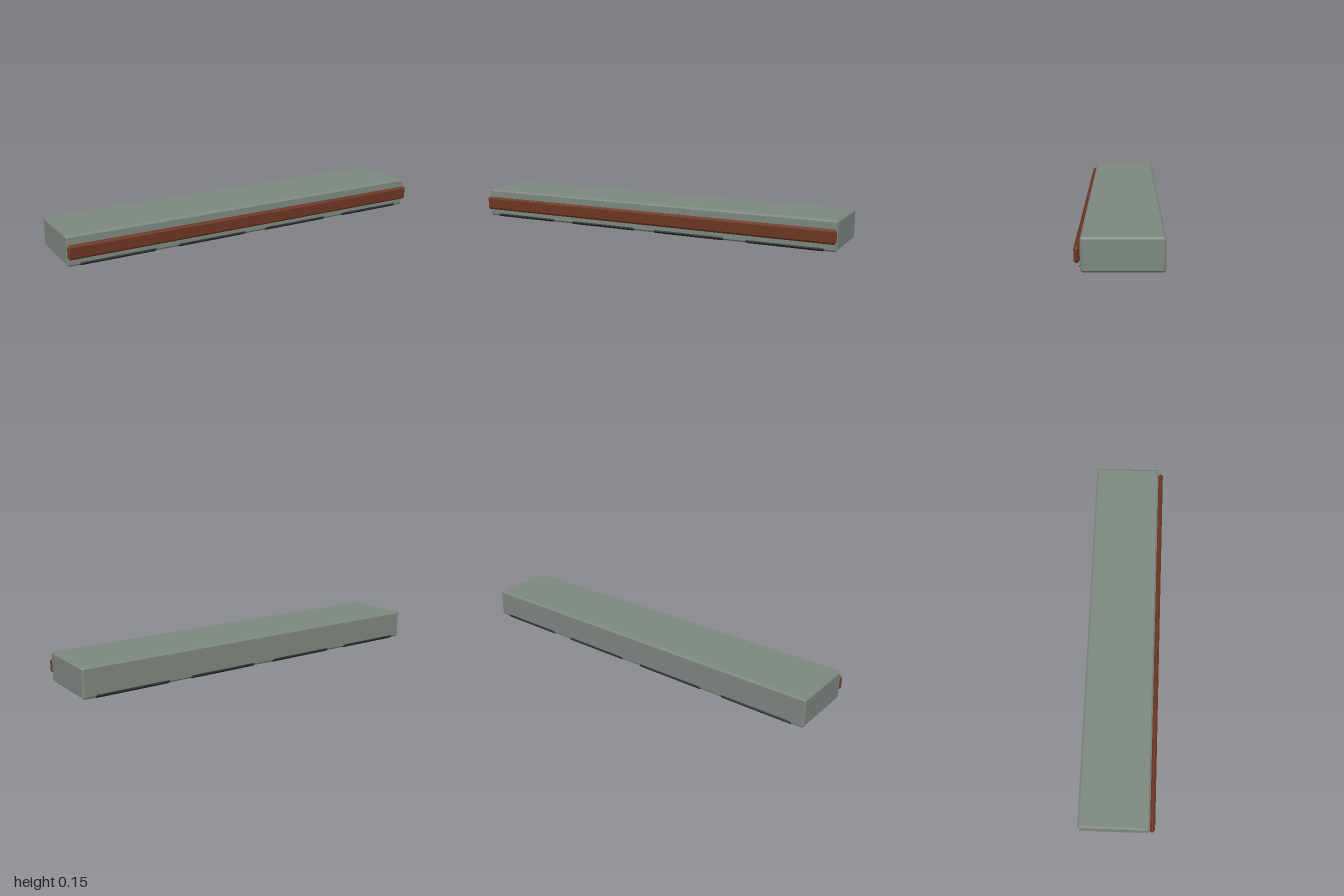
import * as THREE from 'three';
import { ConvexGeometry } from 'three/addons/geometries/ConvexGeometry.js';

// Box with every edge cut at 45 degrees: each corner becomes a small triangle
function chamferedBox(w, h, d, c) {
  const points = [];
  for (const x of [-w / 2, w / 2])
    for (const y of [-h / 2, h / 2])
      for (const z of [-d / 2, d / 2]) {
        const [sx, sy, sz] = [x, y, z].map((v) => Math.sign(v) * c);
        points.push(
          new THREE.Vector3(x, y - sy, z - sz),
          new THREE.Vector3(x - sx, y, z - sz),
          new THREE.Vector3(x - sx, y - sy, z)
        );
      }
  return new ConvexGeometry(points);
}

export function createModel() {
  const group = new THREE.Group();
  const material = (color) => new THREE.MeshStandardMaterial({ color, flatShading: true });
  const grey = material(0x7d867f);
  const rust = material(0x6b3522);
  const dark = material(0x2b2e2e);

  const add = (name, geometry, mat, x, y, z) => {
    const mesh = new THREE.Mesh(geometry, mat);
    mesh.name = name;
    mesh.position.set(x, y, z);
    group.add(mesh);
  };

  // Long main slab, raised a hair so the pads carry it
  add('slab', chamferedBox(2, 0.149, 0.35, 0.009), grey, 0, 0.0755, -0.01);

  // Strip running along the front face
  add('frontStrip', chamferedBox(2, 0.07, 0.026, 0.01), rust, 0, 0.075, 0.178);

  // Four dark pads under the slab, just proud of its front and back
  const pad = chamferedBox(0.39, 0.02, 0.36, 0.009);
  for (let i = 0; i < 4; i++) {
    add('basePad' + (i + 1), pad, dark, -0.75 + i * 0.5, 0.01, -0.01);
  }

  return group;
}
